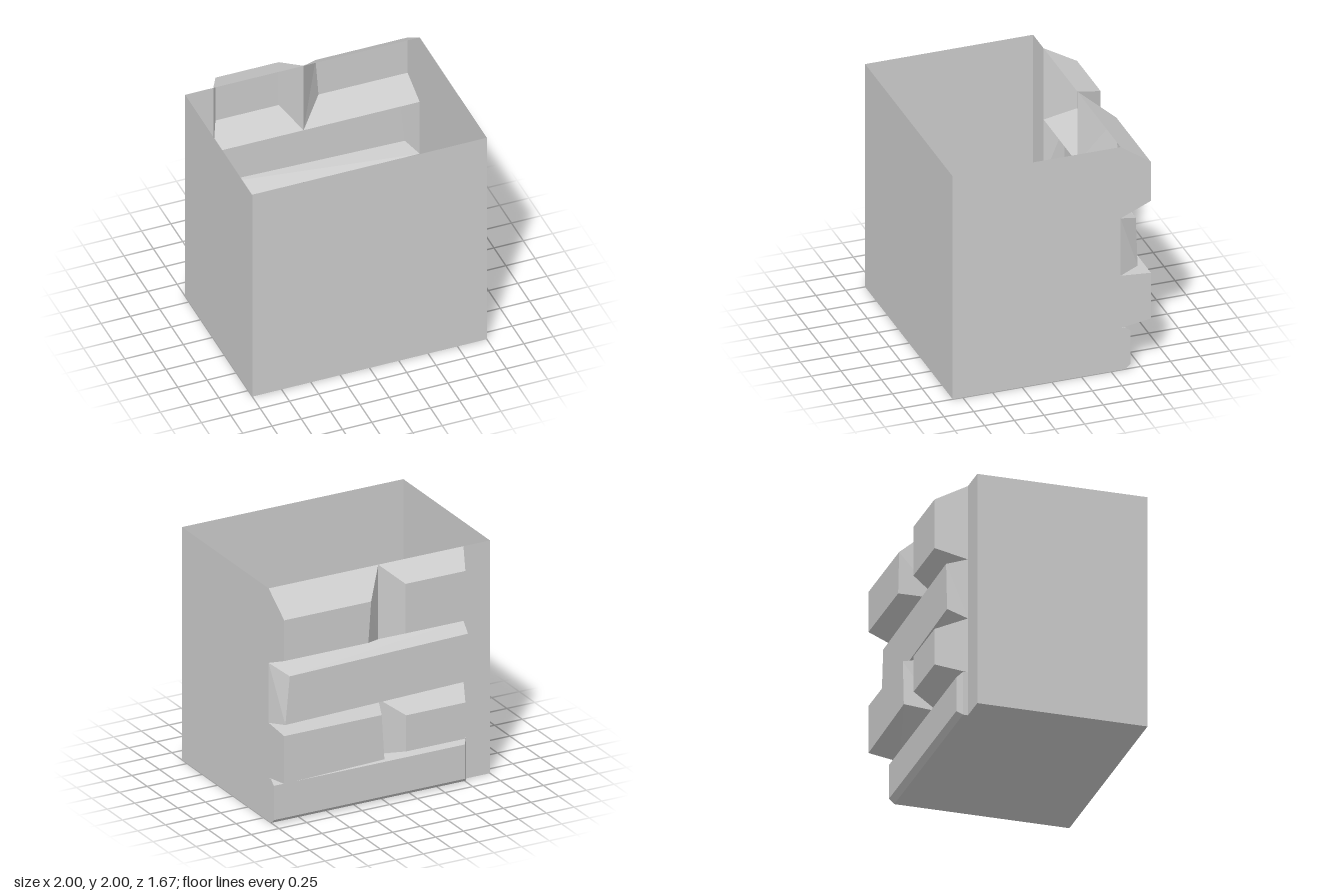
import * as THREE from 'three';

const material = new THREE.MeshStandardMaterial({ color: 0xcccccc, flatShading: true, side: THREE.DoubleSide });
const WALL = -0.58, FRONT = 0.835, END = -0.76, JOINT = 0.01;
const ROWS = [0, 0.375, 0.845, 1.36, 2]; // course heights on the back wall

// Mesh from four-cornered faces, corners counter-clockwise seen from outside
function quads(name, faces) {
  const pos = faces.flatMap(([a, b, c, d]) => [a, b, c, a, c, d].flat());
  const geo = new THREE.BufferGeometry();
  geo.setAttribute('position', new THREE.Float32BufferAttribute(pos, 3));
  geo.computeVertexNormals();
  const mesh = new THREE.Mesh(geo, material);
  mesh.name = name;
  return mesh;
}

// Ring of corners seen from behind: +x bottom, -x bottom, -x top, +x top
const ring = (x0, x1, y0, y1, z) => [[x1, y0, z], [x0, y0, z], [x0, y1, z], [x1, y1, z]];

// Hollow raised stone: rings joined from the wall outwards, the last one capped
function stone(name, rings) {
  const faces = [rings[rings.length - 1]];
  for (let r = 0; r + 1 < rings.length; r++) {
    const [a, b] = [rings[r], rings[r + 1]];
    for (let i = 0; i < 4; i++) {
      const j = (i + 1) % 4;
      faces.push([a[i], a[j], b[j], b[i]]);
    }
  }
  return quads(name, faces);
}

export function createModel() {
  const group = new THREE.Group();
  group.name = 'hollowStoneBlock';

  // Open-topped box
  const side = (x) => [[x, 0, FRONT], [x, 0, WALL], [x, 2, WALL], [x, 2, FRONT]];
  group.add(
    quads('frontWall', [[[-1, 0, FRONT], [1, 0, FRONT], [1, 2, FRONT], [-1, 2, FRONT]]]),
    quads('leftWall', [side(1)]),
    quads('rightWall', [side(-1).reverse()]),
    quads('floor', [[[-1, 0, WALL], [1, 0, WALL], [1, 0, FRONT], [-1, 0, FRONT]]]),
    quads('backStrip', [ring(-1, END, 0, 2, WALL)])
  );

  // Bottom course: one long stone with a bevelled rim
  group.add(stone('bottomStone', [
    ring(END, 1, 0, ROWS[1], WALL),
    ring(END, 1, 0, ROWS[1], -0.62),
    ring(-0.725, 1, 0.04, 0.335, -0.665),
  ]));

  // Second course: two stones
  group.add(stone('secondCourseLeftStone', [
    ring(JOINT, 1, ROWS[1], ROWS[2], WALL),
    [[1, 0.415, -0.835], [0.095, 0.44, -0.835], [0.12, 0.825, -0.835], [1, 0.825, -0.835]],
  ]));
  group.add(stone('secondCourseRightStone', [
    ring(END, JOINT, ROWS[1], ROWS[2], WALL),
    ring(-0.645, -0.11, 0.46, 0.77, -0.82),
  ]));

  // Third course: one long, slightly skewed stone
  group.add(stone('thirdCourseStone', [
    ring(END, 1, ROWS[2], ROWS[3], WALL),
    [[0.94, 0.875, -0.745], [-0.735, 0.915, -0.745], [-0.71, 1.32, -0.745], [0.9, 1.285, -0.745]],
  ]));

  // Top course: two stones
  group.add(stone('topLeftStone', [
    ring(JOINT, 1, ROWS[3], ROWS[4], WALL),
    [[1, 1.47, -0.835], [0.24, 1.47, -0.835], [0.215, 1.82, -0.835], [1, 1.82, -0.835]],
  ]));
  group.add(stone('topRightStone', [
    ring(END, JOINT, ROWS[3], ROWS[4], WALL),
    ring(-0.645, -0.105, 1.475, 1.9, -0.82),
  ]));

  return group;
}
